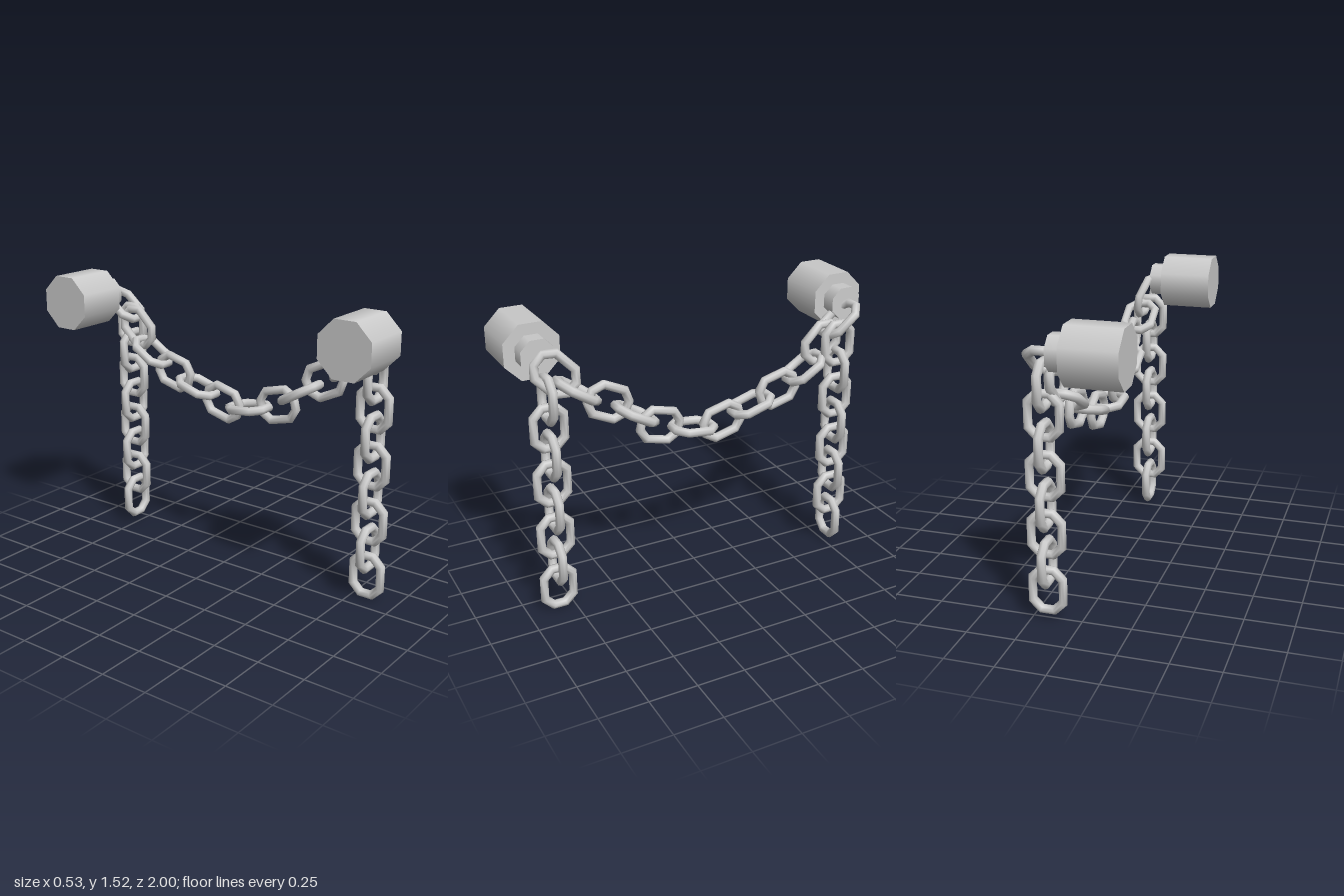
import * as THREE from 'three';

const metal = new THREE.MeshStandardMaterial({ color: 0xcccccc });

// Octagonal chain link, long axis along y, lying in the xy plane
function linkGeometry() {
  const g = new THREE.TorusGeometry(0.084, 0.024, 8, 8);
  g.rotateZ(Math.PI / 8);
  const p = g.attributes.position;
  for (let i = 0; i < p.count; i++) p.setY(i, p.getY(i) + Math.sign(p.getY(i)) * 0.028);
  return g;
}

// Link with long axis "along" and its flat face towards "normal"
function addLink(parent, geometry, center, along, normal) {
  const y = along.clone().normalize();
  const x = new THREE.Vector3().crossVectors(y, normal).normalize();
  const z = new THREE.Vector3().crossVectors(x, y);
  const link = new THREE.Mesh(geometry, metal);
  link.name = 'chainLink';
  link.quaternion.setFromRotationMatrix(new THREE.Matrix4().makeBasis(x, y, z));
  link.position.copy(center);
  parent.add(link);
}

// Eight-sided peg along x with flats on top and bottom
function addPeg(parent, name, x0, x1, halfWidth) {
  const g = new THREE.CylinderGeometry(halfWidth / Math.cos(Math.PI / 8),
    halfWidth / Math.cos(Math.PI / 8), x1 - x0, 8, 1, false, Math.PI / 8);
  g.rotateZ(-Math.PI / 2);
  const peg = new THREE.Mesh(g, metal);
  peg.name = name;
  peg.position.x = (x0 + x1) / 2;
  parent.add(peg);
}

export function createModel() {
  const model = new THREE.Group();
  const geometry = linkGeometry();
  const X = new THREE.Vector3(1, 0, 0);
  const Y = new THREE.Vector3(0, 1, 0);
  const Z = new THREE.Vector3(0, 0, 1);

  // Wall anchors: wide body and narrow neck
  for (const [name, z] of [['frontAnchor', 0.86], ['backAnchor', -0.86]]) {
    const anchor = new THREE.Group();
    anchor.name = name;
    anchor.position.set(0, 1.39, z);
    addPeg(anchor, 'anchorBody', -0.265, 0.01, 0.14);
    addPeg(anchor, 'anchorNeck', 0.01, 0.09, 0.083);
    model.add(anchor);
  }

  // Hanging chains, alternate links turned a quarter
  for (const [name, x, z, bottom, firstNormal, secondNormal] of [
    ['frontHangingChain', 0.1, 0.83, 0.138, X, Z],
    ['backHangingChain', 0.167, -0.768, 0.17, Z, X],
  ]) {
    const chain = new THREE.Group();
    chain.name = name;
    for (let i = 0; i < 8; i++) {
      addLink(chain, geometry, new THREE.Vector3(x, bottom + i * 0.148, z), Y,
        i % 2 ? secondNormal : firstNormal);
    }
    model.add(chain);
  }

  // Draped chain between the anchors: z, y and slope in degrees of each link
  const drape = new THREE.Group();
  drape.name = 'drapedChain';
  const links = [
    [0.79, 1.3, -46], [0.69, 1.2, -33], [0.53, 1.11, -25], [0.39, 1.02, -29],
    [0.255, 0.93, -14], [0.07, 0.882, -6], [-0.1, 0.88, 15], [-0.27, 0.94, 17],
    [-0.43, 0.995, 15], [-0.59, 1.085, 32], [-0.69, 1.21, 45], [-0.79, 1.325, 40],
  ];
  links.forEach(([z, y, slope], i) => {
    const a = THREE.MathUtils.degToRad(slope);
    const along = new THREE.Vector3(0, Math.sin(a), -Math.cos(a));
    const across = new THREE.Vector3(0, Math.cos(a), Math.sin(a));
    const x = i === 0 ? 0.115 : i === 11 ? 0.135 : 0.125;
    if (i === 0) along.x = 0.25; // first link swings out of the neck
    addLink(drape, geometry, new THREE.Vector3(x, y, z), along, i % 2 ? across : X);
  });
  model.add(drape);

  return model;
}
